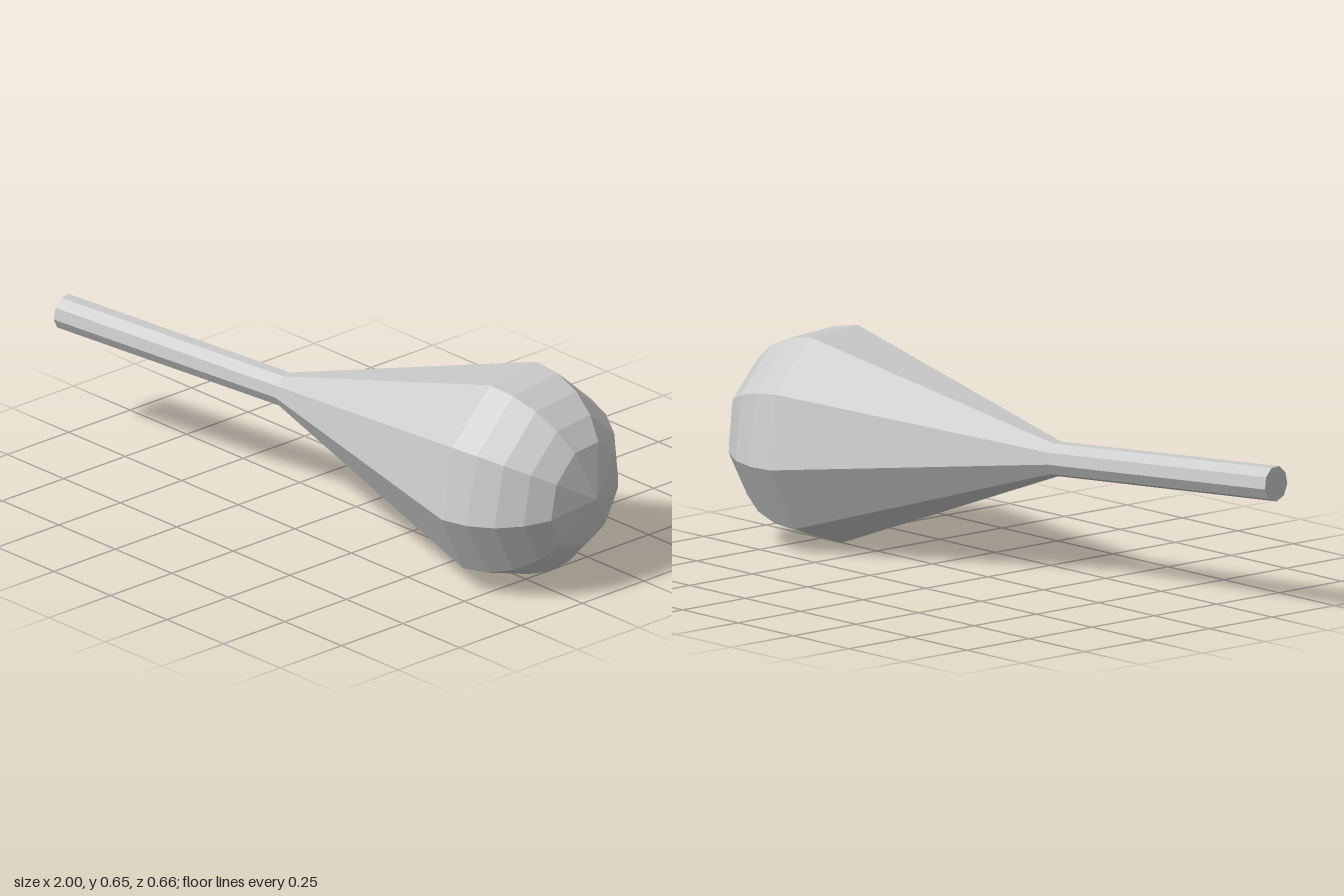
import * as THREE from 'three';

const SIDES = 9;
const HANDLE_R = 0.054, NECK_R = 0.053, HEAD_R = 0.333;
const NECK_AT = 0.839, HEAD_AT = 1.686; // distances along the axis from the grip end

export function createModel() {
  const material = new THREE.MeshStandardMaterial({ color: 0xcccccc, flatShading: true });
  const club = new THREE.Group();
  club.name = 'club';

  // Nine-sided turned section from [radius, distance along axis] pairs
  const addSection = (name, profile) => {
    const points = profile.map(([r, t]) => new THREE.Vector2(r, t));
    const mesh = new THREE.Mesh(new THREE.LatheGeometry(points, SIDES), material);
    mesh.name = name;
    club.add(mesh);
  };

  // Slim handle with a closed end
  addSection('handle', [[0, 0], [HANDLE_R, 0], [NECK_R, NECK_AT]]);

  // Flaring body
  addSection('body', [[NECK_R, NECK_AT], [HEAD_R, HEAD_AT]]);

  // Faceted hemispherical head, finished by a shallow cone
  const dome = [90, 75, 60, 45, 30, 0].map((deg) => {
    const a = THREE.MathUtils.degToRad(deg);
    return [HEAD_R * Math.sin(a), HEAD_AT + 0.33 * Math.cos(a)];
  });
  addSection('head', dome);

  // Tilt the axis from the grip end to the head, one corner pointing down
  const start = new THREE.Vector3(-0.991, 0.403, 0.274);
  const axis = new THREE.Vector3(0.67, 0.332, -0.008).sub(start).normalize();
  const down = new THREE.Vector3(0, -1, 0);
  down.addScaledVector(axis, -down.dot(axis)).normalize();
  const side = new THREE.Vector3().crossVectors(axis, down);
  club.quaternion.setFromRotationMatrix(new THREE.Matrix4().makeBasis(side, axis, down));
  club.position.copy(start);

  const model = new THREE.Group();
  model.name = 'clubModel';
  model.add(club);
  return model;
}
